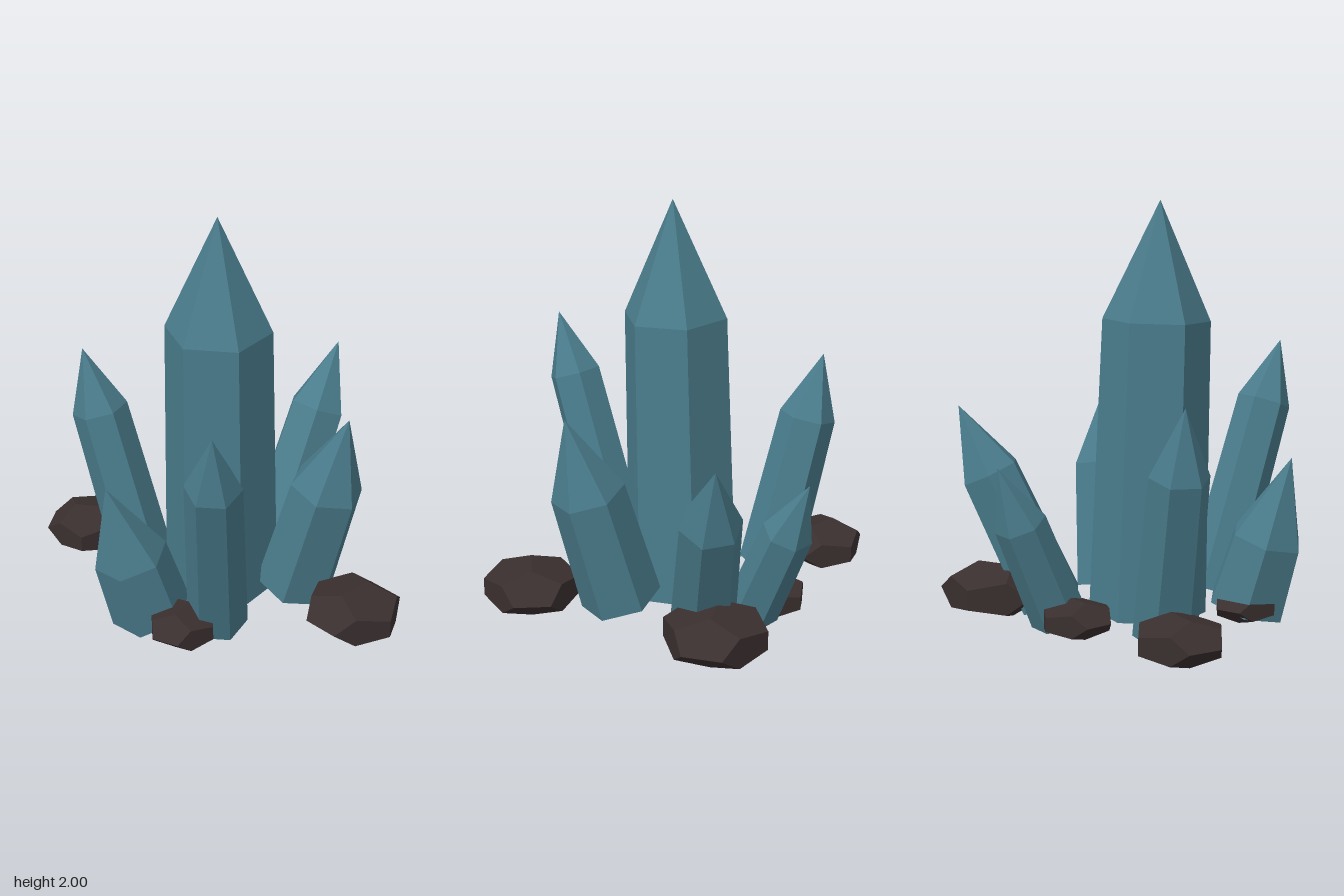
import * as THREE from 'three';

const crystalMat = new THREE.MeshStandardMaterial({ color: 0x4a7c8c, flatShading: true });
crystalMat.name = 'crystalTeal';
const rockMat = new THREE.MeshStandardMaterial({ color: 0x3a2f2f, flatShading: true });
rockMat.name = 'darkRock';

const UP = new THREE.Vector3(0, 1, 0);
const rad = THREE.MathUtils.degToRad;

// Six-sided tapered shaft with a pointed cap, leaning from its base to its tip.
// shoulder = share of the length where the cap starts, turn = angle of a corner in degrees
function crystal(name, [bx, bz], [tx, ty, tz], r, shoulder, turn) {
  const tip = new THREE.Vector3(tx, ty, tz);
  const lean = Math.hypot(tx - bx, tz - bz);
  // lift the tilted foot so that its lowest corner meets the ground
  const base = new THREE.Vector3(bx, 0.008 + r * lean / Math.hypot(lean, ty), bz);
  const axis = tip.clone().sub(base);
  const length = axis.length();
  const profile = [[0, 0], [r, 0], [r * 0.91, length * shoulder], [0, length]]
    .map(([x, y]) => new THREE.Vector2(x, y));
  const geo = new THREE.LatheGeometry(profile, 6);
  geo.rotateY(rad(30 - turn));
  const mesh = new THREE.Mesh(geo, crystalMat);
  mesh.quaternion.setFromUnitVectors(UP, axis.normalize());
  mesh.position.copy(base);
  mesh.name = name;
  return mesh;
}

// Flattened twelve-faced stone resting on the ground
function rock(name, x, z, radius, turn, squash = 0.5) {
  const mesh = new THREE.Mesh(new THREE.DodecahedronGeometry(radius), rockMat);
  mesh.scale.y = squash;
  mesh.rotation.y = rad(turn);
  mesh.position.set(x, radius * 0.934 * squash + 0.003, z);
  mesh.name = name;
  return mesh;
}

export function createModel() {
  const model = new THREE.Group();
  model.name = 'crystalCluster';

  // Crystals
  model.add(
    crystal('mainCrystal', [-0.09, -0.04], [-0.125, 2, 0.02], 0.283, 0.715, 32.5),
    crystal('frontRightCrystal', [-0.27, 0.327], [-0.456, 1.28, 0.715], 0.147, 0.755, 29),
    crystal('backLeftCrystal', [0.323, -0.258], [0.737, 1.02, -0.415], 0.165, 0.66, 0),
    crystal('frontLeftCrystal', [0.21, 0.19], [0.376, 1.04, 0.405], 0.2, 0.6, 12),
    crystal('backCrystal', [0.165, -0.46], [0.31, 0.815, -0.755], 0.135, 0.63, 27),
    crystal('backRightCrystal', [-0.378, -0.427], [-0.577, 1.14, -0.638], 0.155, 0.71, 20),
    crystal('rightCrystal', [-0.54, 0.13], [-0.755, 0.8, 0.15], 0.198, 0.46, 8),
  );

  // Rocks around the foot
  model.add(
    rock('frontLeftRock', 0.323, 0.613, 0.252, 20),
    rock('leftRock', 0.564, -0.378, 0.27, 0),
    rock('frontRightRock', -0.47, 0.36, 0.18, 40, 0.55),
    rock('backRightRock', -0.567, -0.66, 0.228, -33),
    rock('backRock', 0.031, -0.528, 0.188, -24),
    rock('rightRock', -0.557, 0.075, 0.17, 84),
  );

  return model;
}
